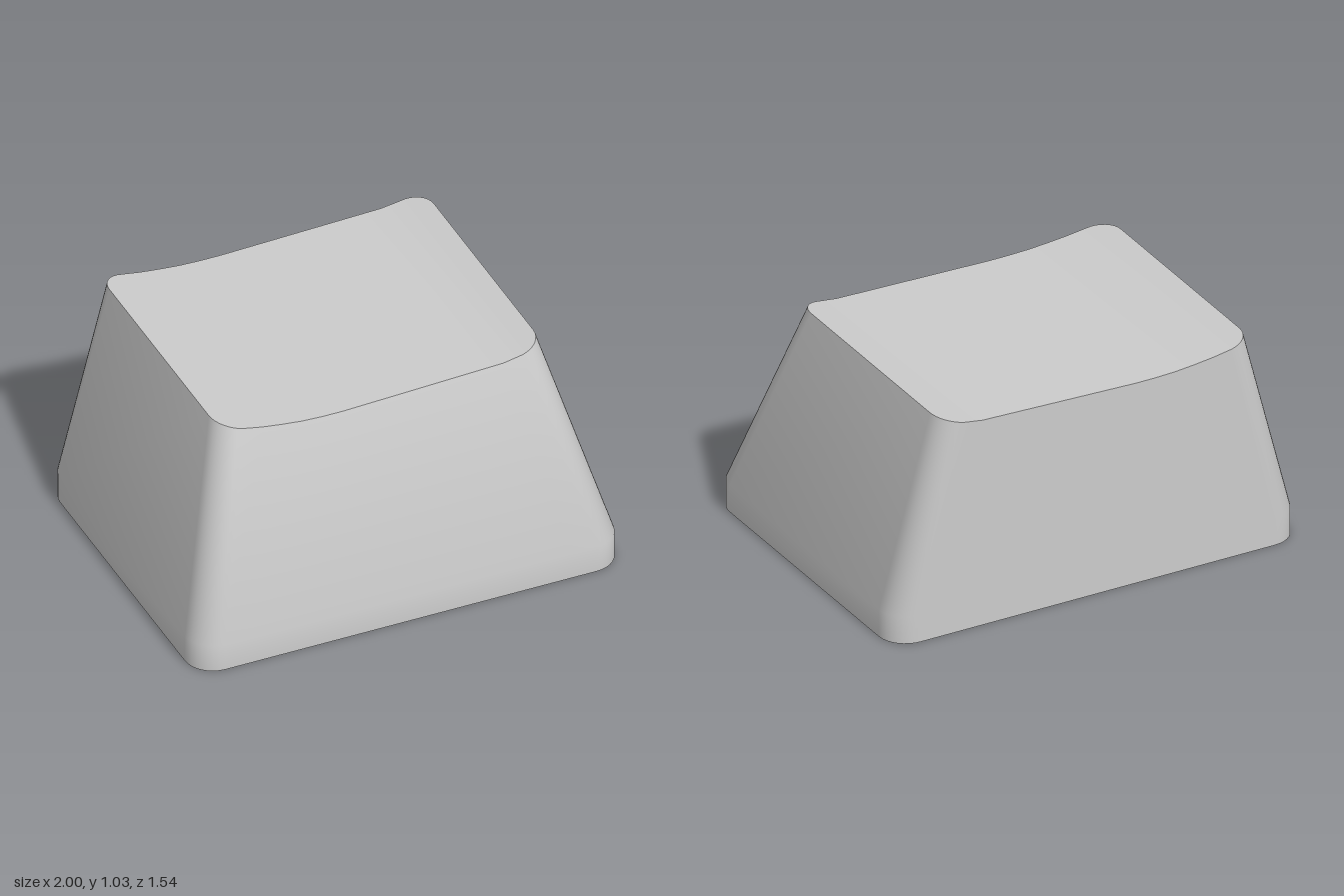
import * as THREE from 'three';
import { toCreasedNormals } from 'three/addons/utils/BufferGeometryUtils.js';

const BREAK = 0.13, TOP = 1.03;
const ARC = 8, EDGE = 14;

// Rounded rectangle: front half from +x to -x, then its mirror along the back
function ring(halfX, zFront, zBack, r, y) {
  const half = (z, s) => {
    const pts = [];
    const corner = (side, a) => pts.push(new THREE.Vector3(
      side * (halfX - r + r * Math.cos(a)), y, z - s * r + s * r * Math.sin(a)));
    for (let i = 0; i <= ARC; i++) corner(1, (i / ARC) * Math.PI / 2);
    for (let i = 1; i < EDGE; i++)
      pts.push(new THREE.Vector3((halfX - r) * (1 - 2 * i / EDGE), y, z));
    for (let i = ARC; i >= 0; i--) corner(-1, (i / ARC) * Math.PI / 2);
    return pts;
  };
  return [...half(zFront, 1), ...half(zBack, -1).reverse()];
}

// Height of the scooped top across x
const DISH = [[-0.76, 1.03], [-0.6, 0.997], [-0.4, 0.974], [-0.23, 0.968], [0.59, 0.994], [0.76, 1.03]];
function dish(x) {
  let i = 0;
  while (i < DISH.length - 2 && x > DISH[i + 1][0]) i++;
  const [x0, y0] = DISH[i], [x1, y1] = DISH[i + 1];
  return y0 + (y1 - y0) * (x - x0) / (x1 - x0);
}

// Hollow skin: top, outer walls, bottom rim, inner walls, ceiling
function shellGeometry() {
  const shoulder = ring(1, 0.77, -0.77, 0.13, BREAK);
  const top = ring(0.76, 0.47, -0.77, 0.11, TOP).map((p, i) => {
    const y = dish(p.x);
    return shoulder[i].clone().lerp(p, (y - BREAK) / (TOP - BREAK)).setY(y);
  });
  const rings = [
    top,
    shoulder,
    ring(1, 0.77, -0.77, 0.13, 0),
    ring(0.89, 0.66, -0.66, 0.025, 0),
    ring(0.7, 0.42, -0.66, 0.07, 0.86),
  ];
  const n = top.length, index = [];
  const quad = (a, b, c, d) => index.push(a, b, c, a, c, d);
  for (let k = 0; k < rings.length - 1; k++)
    for (let i = 0; i < n; i++) {
      const j = (i + 1) % n, u = k * n, v = u + n;
      quad(u + i, u + j, v + j, v + i);
    }
  // Caps are strips joining the front half of a ring to its back half
  const last = (rings.length - 1) * n;
  for (let i = 0; i < n / 2 - 1; i++) {
    const f0 = i, f1 = i + 1, b0 = n - 1 - i, b1 = n - 2 - i;
    quad(f0, b0, b1, f1);
    quad(last + f0, last + f1, last + b1, last + b0);
  }
  const g = new THREE.BufferGeometry().setFromPoints(rings.flat());
  g.setIndex(index);
  return toCreasedNormals(g, 0.5);
}

// Round post with a cross-shaped socket
function stemGeometry(height) {
  const shape = new THREE.Shape().absarc(0, 0, 0.26, 0, Math.PI * 2, false);
  const L = 0.185, w = 0.063;
  const arm = [[L, -w], [L, w], [w, w]];
  const cross = [];
  for (let q = 0; q < 4; q++)
    for (const [x, y] of arm)
      cross.push(new THREE.Vector2(x, y).rotateAround(new THREE.Vector2(), q * Math.PI / 2));
  shape.holes.push(new THREE.Path(cross));
  const g = new THREE.ExtrudeGeometry(shape, { depth: height, bevelEnabled: false, curveSegments: 24 });
  g.rotateX(-Math.PI / 2);
  return toCreasedNormals(g, 0.5);
}

export function createModel() {
  const group = new THREE.Group();
  group.name = 'keycap';
  const material = new THREE.MeshStandardMaterial({ color: 0xcccccc });

  const shell = new THREE.Mesh(shellGeometry(), material);
  shell.name = 'shell';

  const stem = new THREE.Mesh(stemGeometry(0.76), material);
  stem.name = 'stem';
  stem.position.set(0, 0.12, -0.04);

  group.add(shell, stem);
  return group;
}
